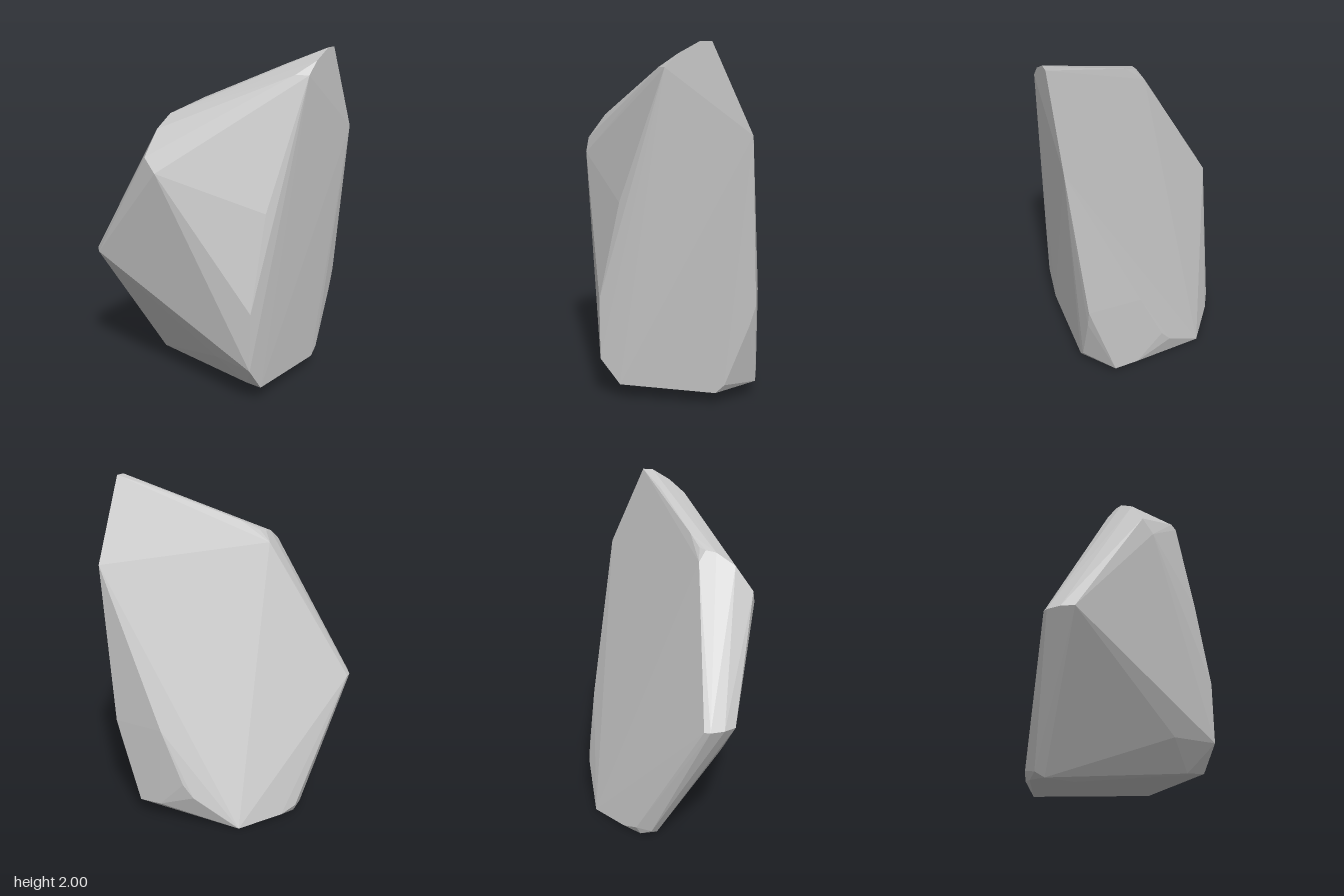
import * as THREE from 'three';
import { ConvexGeometry } from 'three/addons/geometries/ConvexGeometry.js';

// Corner points of the boulder, grouped by region
const corners = {
  crest: [[0.595, 2, -0.28], [0.595, 2, -0.22], [0.595, 1.94, -0.11], [0.595, 1.87, -0.04], [0.53, 1.87, 0],
    [0.4, 1.91, -0.12], [0.03, 1.72, 0.14], [-0.06, 1.66, 0.21]],
  frontRidge: [[-0.08, 1.65, 0.25], [-0.08, 1.64, 0.31], [-0.08, 1.57, 0.42], [-0.08, 1.43, 0.525],
    [-0.01, 1.35, 0.525], [-0.12, 1.59, 0.22]],
  leftTip: [[-0.6, 0.78, 0.35], [-0.6, 0.78, 0.385], [-0.56, 0.78, 0.455], [-0.5, 0.78, 0.505]],
  cutSide: [[0.515, 1.15, 0.22], [0.51, 0.6, 0.34], [0.51, 0.25, 0.34], [0.51, 0.1, 0.23],
    [0.51, 0.08, -0.31], [0.51, 0.13, -0.36], [0.51, 0.48, -0.49], [0.51, 0.6, -0.525], [0.595, 1.53, -0.495]],
  back: [[0.2, 0.6, -0.525], [0.06, 0.28, -0.52], [0, 0.2, -0.505], [0.22, 0.11, -0.525], [0.36, 0.1, -0.525]],
  foot: [[-0.24, 0, -0.39], [-0.41, 0.02, -0.16], [-0.46, 0.05, -0.07], [-0.44, 0, -0.05], [-0.45, 0.03, 0.02],
    [-0.4, 0, 0.04], [-0.22, 0, 0.04], [-0.4, 0.18, 0.13], [0.25, 0.25, 0.315], [0.4, 0.09, 0.22]],
};

export function createModel() {
  const model = new THREE.Group();
  model.name = 'rock';

  const stone = new THREE.MeshStandardMaterial({ color: 0xc6c6c6 });
  stone.name = 'grey stone';

  // Faceted boulder wrapped tightly around its corners
  const points = Object.values(corners).flat().map((p) => new THREE.Vector3(...p));
  const boulder = new THREE.Mesh(new ConvexGeometry(points), stone);
  boulder.name = 'boulder';
  model.add(boulder);
  return model;
}
